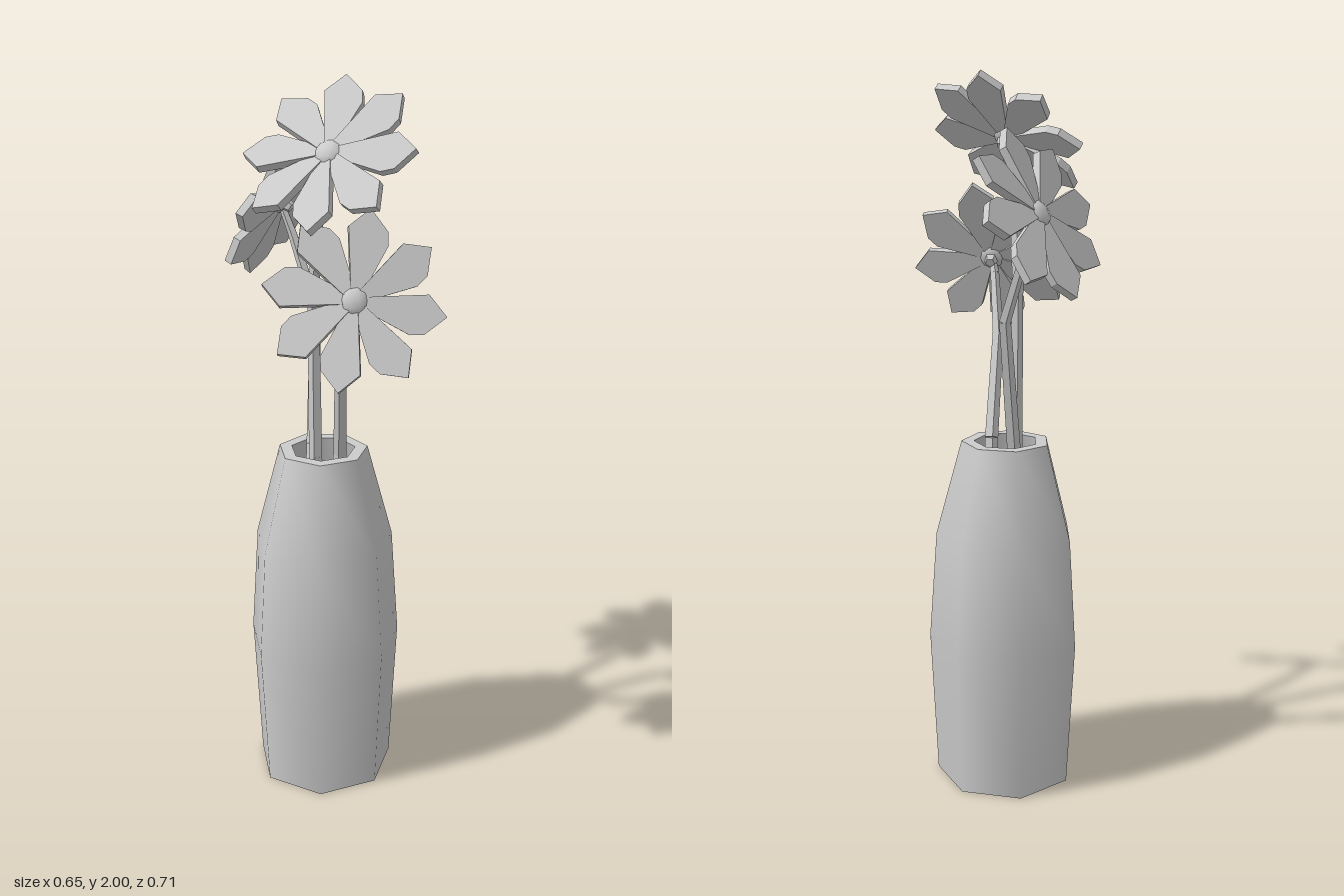
import * as THREE from 'three';

const smooth = new THREE.MeshStandardMaterial({ color: 0xcccccc, side: THREE.DoubleSide });
const flat = new THREE.MeshStandardMaterial({ color: 0xcccccc, flatShading: true });
const V = (x, y, z) => new THREE.Vector3(x, y, z);

function add(parent, name, geometry, material) {
  const mesh = new THREE.Mesh(geometry, material);
  mesh.name = name;
  parent.add(mesh);
  return mesh;
}

// Seven-sided vase: separate profiles keep the rim and base edges sharp
function makeVase() {
  const vase = new THREE.Group();
  vase.name = 'vase';
  const profiles = {
    vaseBase: [[0, 0], [0.197, 0]],
    vaseWall: [[0.197, 0], [0.218, 0.42], [0.197, 0.73], [0.125, 1]],
    vaseRim: [[0.125, 1], [0.09, 1]],
    vaseInside: [[0.09, 1], [0.165, 0.72], [0.185, 0.42], [0.165, 0.04], [0, 0.04]],
  };
  for (const [name, points] of Object.entries(profiles)) {
    const profile = points.map(([r, y]) => new THREE.Vector2(r, y));
    add(vase, name, new THREE.LatheGeometry(profile, 7, -Math.PI / 2), smooth);
  }
  vase.position.set(-0.043, 0, 0.048);
  return vase;
}

// Bent stem made of tapering five-sided segments
function makeStem(points) {
  const stem = new THREE.Group();
  stem.name = 'stem';
  const radius = (i) => THREE.MathUtils.lerp(0.023, 0.01, i / (points.length - 1));
  for (let i = 0; i < points.length - 1; i++) {
    const a = points[i], dir = points[i + 1].clone().sub(a);
    const geometry = new THREE.CylinderGeometry(radius(i + 1), radius(i), dir.length(), 5);
    const part = add(stem, 'stemSegment', geometry, flat);
    part.position.copy(a).addScaledVector(dir, 0.5);
    part.quaternion.setFromUnitVectors(V(0, 1, 0), dir.normalize());
  }
  return stem;
}

// Thick pointed petal, growing along +y
const petalShape = new THREE.Shape(
  [[-0.012, 0.01], [0.012, 0.01], [0.055, 0.15], [0.047, 0.185], [-0.006, 0.232], [-0.052, 0.178]]
    .map(([x, y]) => new THREE.Vector2(x, y)));
const petalGeometry = new THREE.ExtrudeGeometry(petalShape, { depth: 0.022, bevelEnabled: false });
petalGeometry.translate(0, 0, -0.011);

// Eight-petal flower head whose face looks along the given normal
function makeFlower(center, normal, roll) {
  const flower = new THREE.Group();
  flower.name = 'flower';
  const n = normal.normalize();
  const right = V(0, 1, 0).cross(n).normalize();
  const up = n.clone().cross(right);
  flower.quaternion.setFromRotationMatrix(new THREE.Matrix4().makeBasis(right, up, n));
  flower.position.copy(center);
  for (let i = 0; i < 8; i++) {
    const pivot = new THREE.Group();
    pivot.name = 'petalPivot';
    pivot.rotation.z = roll + i * Math.PI / 4;
    add(pivot, 'petal', petalGeometry, flat).rotation.y = 0.12;
    flower.add(pivot);
  }
  // Domed heart in front, small cap where the stem meets the back
  const heart = add(flower, 'flowerHeart', new THREE.SphereGeometry(0.038, 10, 6), smooth);
  heart.scale.z = 0.6;
  const cap = add(flower, 'stemCap', new THREE.CylinderGeometry(0.024, 0.014, 0.03, 5), flat);
  cap.rotation.x = Math.PI / 2;
  cap.position.z = -0.022;
  return flower;
}

export function createModel() {
  const model = new THREE.Group();
  model.name = 'vaseWithFlowers';
  model.add(makeVase());

  const plants = [
    // Tall flower
    { center: V(0.005, 1.825, 0.145), normal: V(-0.14, 0.69, 0.7), roll: 0.1,
      path: [V(-0.045, 0.5, 0.09), V(-0.047, 1, 0.1), V(-0.05, 1.45, 0.1), V(-0.02, 1.73, 0.135)] },
    // Side flower
    { center: V(-0.21, 1.645, -0.12), normal: V(-0.87, 0.45, -0.15), roll: 0,
      path: [V(-0.07, 0.5, 0.1), V(-0.08, 1, 0.015), V(-0.1, 1.36, -0.085), V(-0.175, 1.56, -0.115)] },
    // Front flower
    { center: V(0.1, 1.485, 0.25), normal: V(0.25, 0.4, 0.88), roll: -0.2,
      path: [V(-0.02, 0.5, 0), V(0.012, 1, 0.065), V(0.045, 1.28, 0.175), V(0.085, 1.44, 0.235)] },
  ];
  for (const { center, normal, roll, path } of plants) {
    model.add(makeStem([...path, center]));
    model.add(makeFlower(center, normal, roll));
  }
  return model;
}
